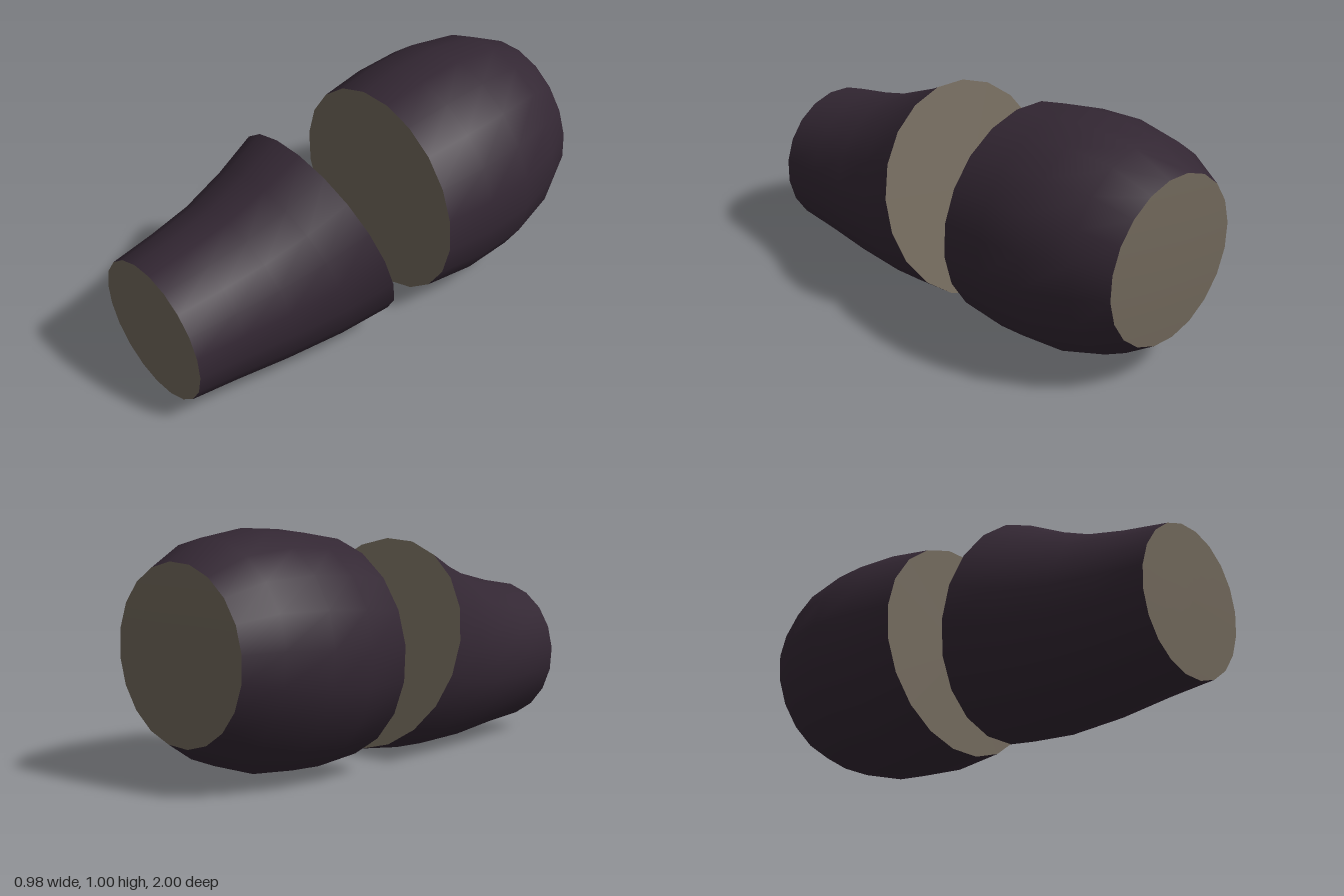
import * as THREE from 'three';

const SIDES = 20;
const TWIST = 0.11;

// Ring of points around a tilted cut: [zTop, yTop, zBottom, yBottom, halfWidth]
function ring([zt, yt, zb, yb, w]) {
  const pts = [];
  for (let j = 0; j < SIDES; j++) {
    const a = TWIST + (j / SIDES) * Math.PI * 2;
    const t = (1 + Math.cos(a)) / 2;
    pts.push([w * Math.sin(a), yb + (yt - yb) * t, zb + (zt - zb) * t]);
  }
  return pts;
}

function build(points, index) {
  const g = new THREE.BufferGeometry();
  g.setAttribute('position', new THREE.Float32BufferAttribute(points.flat(), 3));
  g.setIndex(index);
  g.computeVertexNormals();
  return g;
}

// Skin lofted through sections ordered front to back
function skinGeometry(sections) {
  const index = [];
  for (let i = 0; i < sections.length - 1; i++) {
    for (let j = 0; j < SIDES; j++) {
      const k = (j + 1) % SIDES;
      const a = i * SIDES + j, b = i * SIDES + k;
      index.push(a, b, a + SIDES, b, b + SIDES, a + SIDES);
    }
  }
  return build(sections.flatMap(ring), index);
}

// Cut face, with an optional outward bulge at its centre
function cutGeometry(s, front, bulge = 0) {
  const pts = ring(s);
  pts.push([0, (s[1] + s[3]) / 2, (s[0] + s[2]) / 2 + (front ? bulge : -bulge)]);
  const index = [];
  for (let j = 0; j < SIDES; j++) {
    const k = (j + 1) % SIDES;
    index.push(SIDES, front ? k : j, front ? j : k);
  }
  return build(pts, index);
}

export function createModel() {
  const skin = new THREE.MeshStandardMaterial({ name: 'dark purple skin', color: 0x32262f });
  const flesh = new THREE.MeshStandardMaterial({ name: 'beige flesh', color: 0x70675a });
  skin.color.set(0x332733);

  const model = new THREE.Group();
  model.name = 'cutVegetable';

  const chunk = (name, sections, frontBulge, backBulge) => {
    const group = new THREE.Group();
    group.name = name;
    const add = (part, geometry, material) => {
      const mesh = new THREE.Mesh(geometry, material);
      mesh.name = part;
      group.add(mesh);
    };
    add('skin', skinGeometry(sections), skin);
    add('frontCut', cutGeometry(sections[0], true, frontBulge), flesh);
    add('backCut', cutGeometry(sections[sections.length - 1], false, backBulge), flesh);
    model.add(group);
  };

  // Narrow tapering piece with a slanted back cut
  chunk('narrowChunk', [
    [1.0, 0.67, 0.965, 0.04, 0.318],
    [0.8, 0.705, 0.75, 0.028, 0.345],
    [0.62, 0.75, 0.5, 0.005, 0.375],
    [0.44, 0.825, 0.22, 0.003, 0.42],
    [0.265, 0.917, -0.01, 0.033, 0.467],
  ], 0.005, 0);

  // Wide rounded piece
  chunk('wideChunk', [
    [-0.2, 0.956, -0.2, 0.025, 0.467],
    [-0.4, 0.993, -0.43, 0.008, 0.493],
    [-0.6, 1.008, -0.65, 0.03, 0.49],
    [-0.82, 0.982, -0.85, 0.095, 0.435],
    [-0.985, 0.902, -0.978, 0.178, 0.355],
  ], 0, 0.018);

  return model;
}
